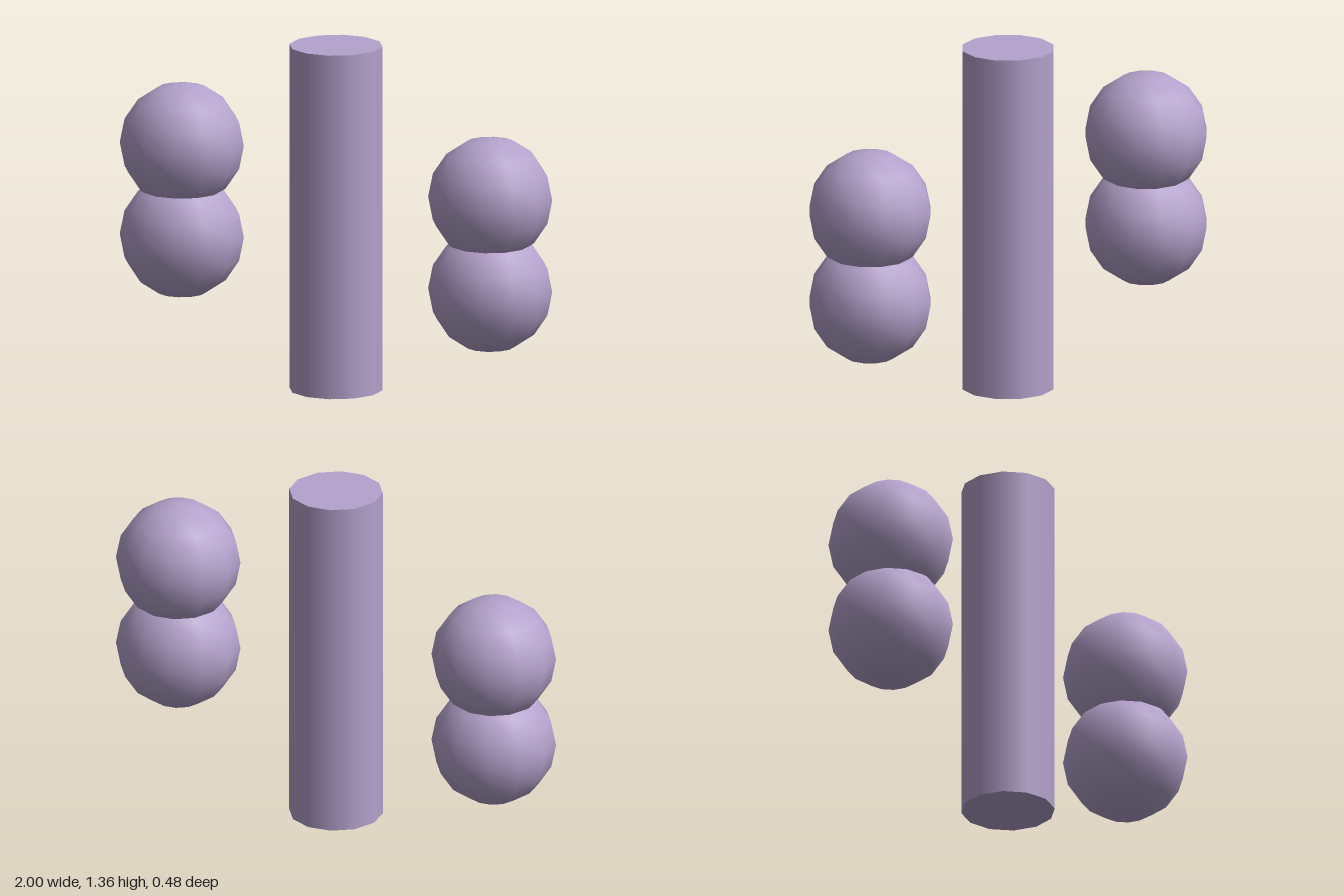
import * as THREE from 'three';

export function createModel() {
  const model = new THREE.Group();
  const material = new THREE.MeshStandardMaterial({ color: 0xb4a2cc });
  const height = 1.364;

  // Central twelve-sided column
  const column = new THREE.Mesh(new THREE.CylinderGeometry(0.182, 0.182, height, 12), material);
  column.name = 'column';
  column.position.y = height / 2;
  model.add(column);

  // A pair of overlapping spheres on each side
  const sphere = new THREE.SphereGeometry(0.2424, 12, 8);
  for (const [side, sign] of [['left', 1], ['right', -1]]) {
    const pair = new THREE.Group();
    pair.name = `${side}SpherePair`;
    pair.position.set(sign * 0.7576, height / 2, 0);
    for (const [level, dy] of [['upper', 0.182], ['lower', -0.182]]) {
      const ball = new THREE.Mesh(sphere, material);
      ball.name = `${level}Sphere`;
      ball.position.y = dy;
      pair.add(ball);
    }
    model.add(pair);
  }
  return model;
}
